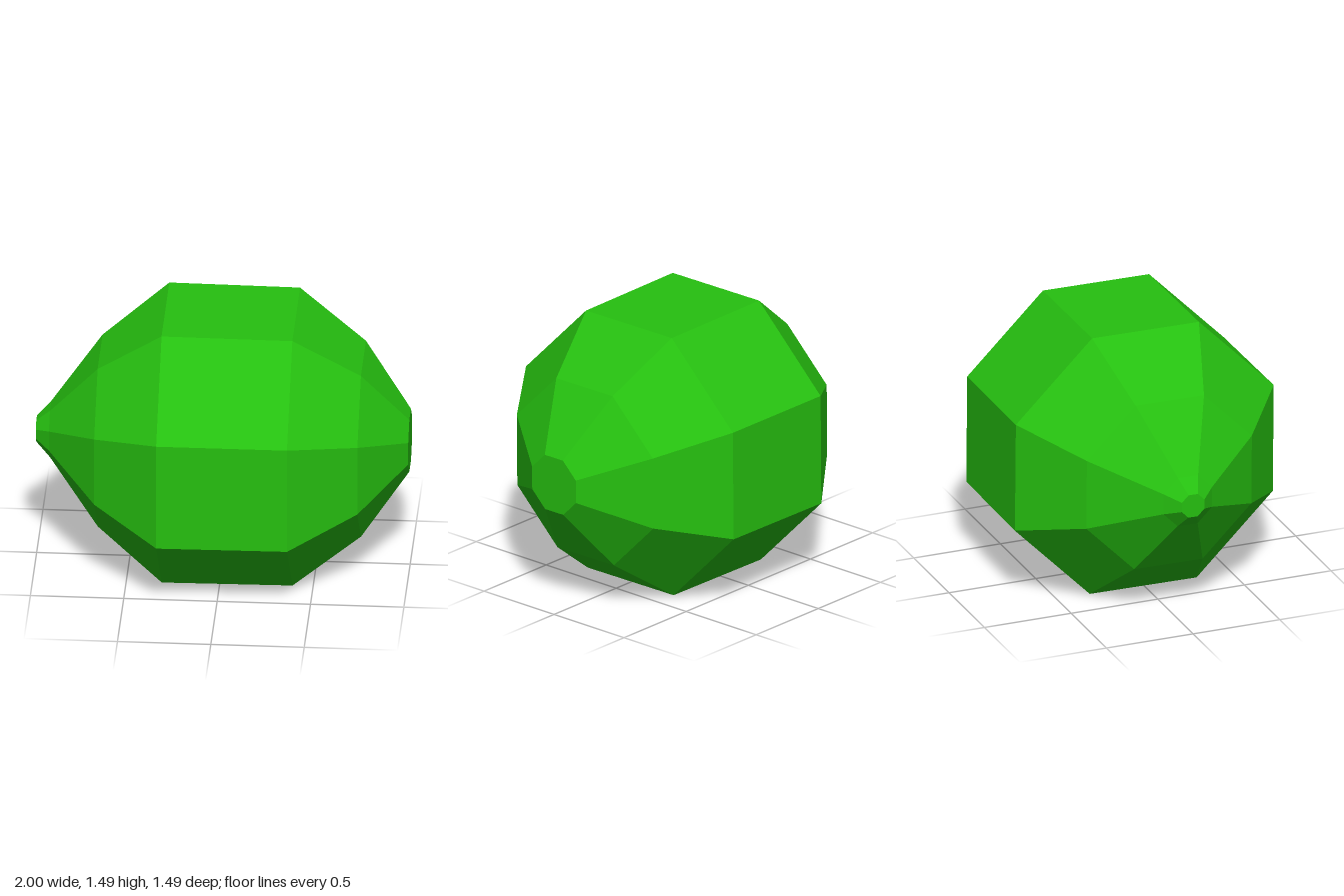
import * as THREE from 'three';

const SIDES = 8;

export function createModel() {
  const model = new THREE.Group();
  model.name = 'fruit';
  const green = new THREE.MeshStandardMaterial({ color: 0x26c010, flatShading: true });
  green.name = 'lime green';

  // Profile from the pointed tip to the blunt stem end: [position along x, flat-to-centre distance]
  const profile = [
    [-1, 0], [-1, 0.065], [-0.925, 0.14], [-0.66, 0.476],
    [-0.31, 0.744], [0.39, 0.739], [0.75, 0.486], [1, 0.156], [1, 0],
  ];
  const points = profile.map(([x, r]) => new THREE.Vector2(r / Math.cos(Math.PI / SIDES), x));

  // Eight-sided body lying along x, with a flat side up and a slight roll
  const lathe = new THREE.LatheGeometry(points, SIDES, Math.PI / SIDES);
  lathe.rotateZ(-Math.PI / 2).rotateX(0.009);
  const body = lathe.toNonIndexed();
  body.computeVertexNormals();

  const mesh = new THREE.Mesh(body, green);
  mesh.name = 'fruitBody';
  mesh.position.y = 0.748;
  model.add(mesh);
  return model;
}
